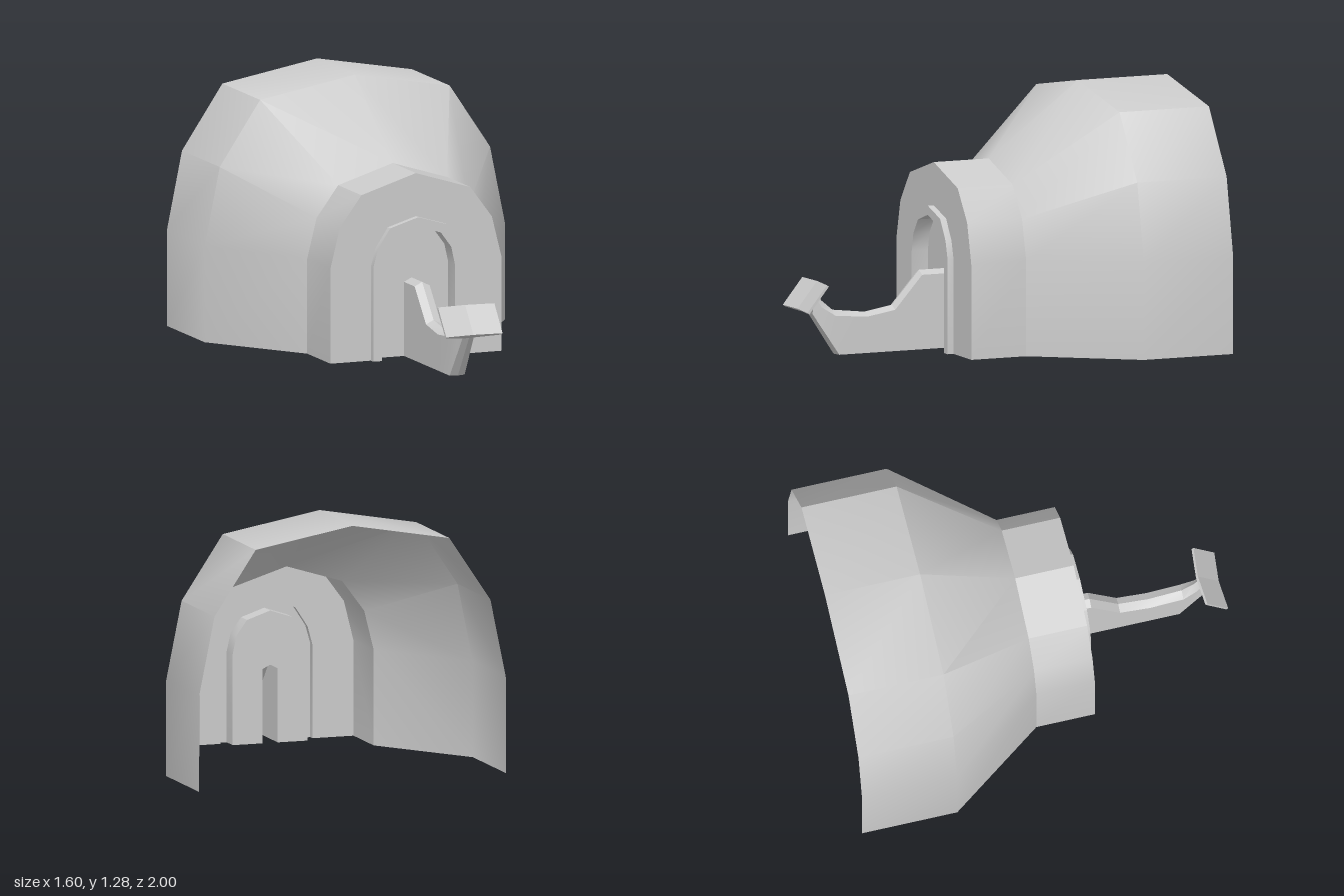
import * as THREE from 'three';
import { toCreasedNormals } from 'three/addons/utils/BufferGeometryUtils.js';

const material = new THREE.MeshStandardMaterial({ color: 0xcccccc, side: THREE.DoubleSide });

// Skin a grid of rows of [x, y, z] points
function loft(name, rows, crease = 30) {
  const n = rows[0].length, index = [];
  for (let r = 0; r < rows.length - 1; r++) {
    for (let c = 0; c < n - 1; c++) {
      const a = r * n + c, b = a + 1, d = a + n, e = d + 1;
      index.push(a, b, d, b, e, d);
    }
  }
  const geometry = new THREE.BufferGeometry();
  geometry.setAttribute('position', new THREE.Float32BufferAttribute(rows.flat(2), 3));
  geometry.setIndex(index);
  const mesh = new THREE.Mesh(toCreasedNormals(geometry, THREE.MathUtils.degToRad(crease)), material);
  mesh.name = name;
  return mesh;
}

// Mirror a half row (from +x to the centre) to the other side
const mirror = (half) => [...half, ...half.slice(0, -1).reverse().map(([x, y, z]) => [-x, y, z])];
const arch = (half, z) => mirror(half.map(([x, y]) => [x, y, z]));

// Half arches from the ground to the crown
const domeArch = [[0.8, 0], [0.8, 0.48], [0.72, 0.87], [0.505, 1.19], [0, 1.28]];
const porchArch = [[0.455, 0], [0.455, 0.475], [0.405, 0.675], [0.29, 0.83], [0, 0.92]];
const frameArch = [[0.24, 0], [0.24, 0.47], [0.215, 0.56], [0.15, 0.66], [0, 0.705]];
const doorArch = [[0.195, 0], [0.195, 0.455], [0.175, 0.545], [0.12, 0.62], [0, 0.66]];
const slotArch = [[0.04, 0], [0.04, 0.2], [0.04, 0.3], [0.04, 0.37], [0, 0.39]];

const WALL = 0.255, FRAME = 0.287, PANEL = 0.2;

// Ridge z/y, shoulder half width/z/y, bottom half width/z/y
const keelStations = [
  [PANEL, 0.39, 0.04, PANEL, 0.37, 0.04, PANEL, 0],
  [0.335, 0.39, 0.04, 0.335, 0.37, 0.04, 0.335, 0],
  [0.48, 0.225, 0.04, 0.48, 0.205, 0.04, 0.48, 0],
  [0.63, 0.2, 0.04, 0.63, 0.18, 0.04, 0.63, 0],
  [0.8, 0.22, 0.04, 0.8, 0.195, 0.04, 0.78, 0],
  [0.86, 0.27, 0.03, 0.87, 0.24, 0.034, 0.86, 0.12],
  [0.9, 0.33, 0.025, 0.905, 0.295, 0.03, 0.92, 0.21],
];

export function createModel() {
  const model = new THREE.Group();
  model.name = 'archedShelter';

  // Open-backed dome tapering into the porch
  model.add(loft('dome', [arch(domeArch, -1), arch(domeArch, -0.52), arch(porchArch, -0.04)], 40));
  model.add(loft('porch', [arch(porchArch, -0.04), arch(porchArch, WALL)]));
  model.add(loft('frontWall', [arch(porchArch, WALL), arch(frameArch, WALL)]));

  // Raised door frame with a recessed panel
  model.add(loft('doorFrame', [
    arch(frameArch, WALL), arch(frameArch, FRAME), arch(doorArch, FRAME), arch(doorArch, PANEL),
  ]));
  model.add(loft('doorPanel', [arch(doorArch, PANEL), arch(slotArch, PANEL)]));

  // Hollow curved keel, open underneath
  const keelRows = keelStations.map(([rz, ry, sw, sz, sy, bw, bz, by]) =>
    mirror([[bw, by, bz], [sw, sy, sz], [0, ry, rz]]));
  model.add(loft('keel', keelRows, 25));

  // Ridged stem closing the front of the keel
  const stemRows = keelStations.slice(4).map((s) =>
    [[-s[5], s[7], s[6]], [0, s[7], s[6] + 0.01], [s[5], s[7], s[6]]]);
  model.add(loft('stem', stemRows, 10));

  // Wide tilted prow plate, slightly bent in the middle, tapering back to the neck
  const closeRing = ([p0, ...rest], bottom) => [p0, ...rest, bottom, p0];
  const plateRing = (dy, dz) => closeRing(
    mirror([[0.15, 0.228 + dy, 0.99 + dz], [0.15, 0.36 + dy, 0.885 + dz], [0, 0.36 + dy, 0.872 + dz]]),
    [0, 0.228 + dy, 0.977 + dz]);
  const neck = closeRing(keelRows.at(-1), [0, 0.21, 0.93]);
  const back = plateRing(0, 0), front = plateRing(0.008, 0.01);
  const prow = new THREE.Group();
  prow.name = 'prow';
  prow.add(loft('prowBody', [neck, back, front], 5));
  prow.add(loft('prowFace', [
    [front[1], front[2], front[3]],
    [front[0], front[5], front[4]],
  ], 5));
  model.add(prow);

  return model;
}
